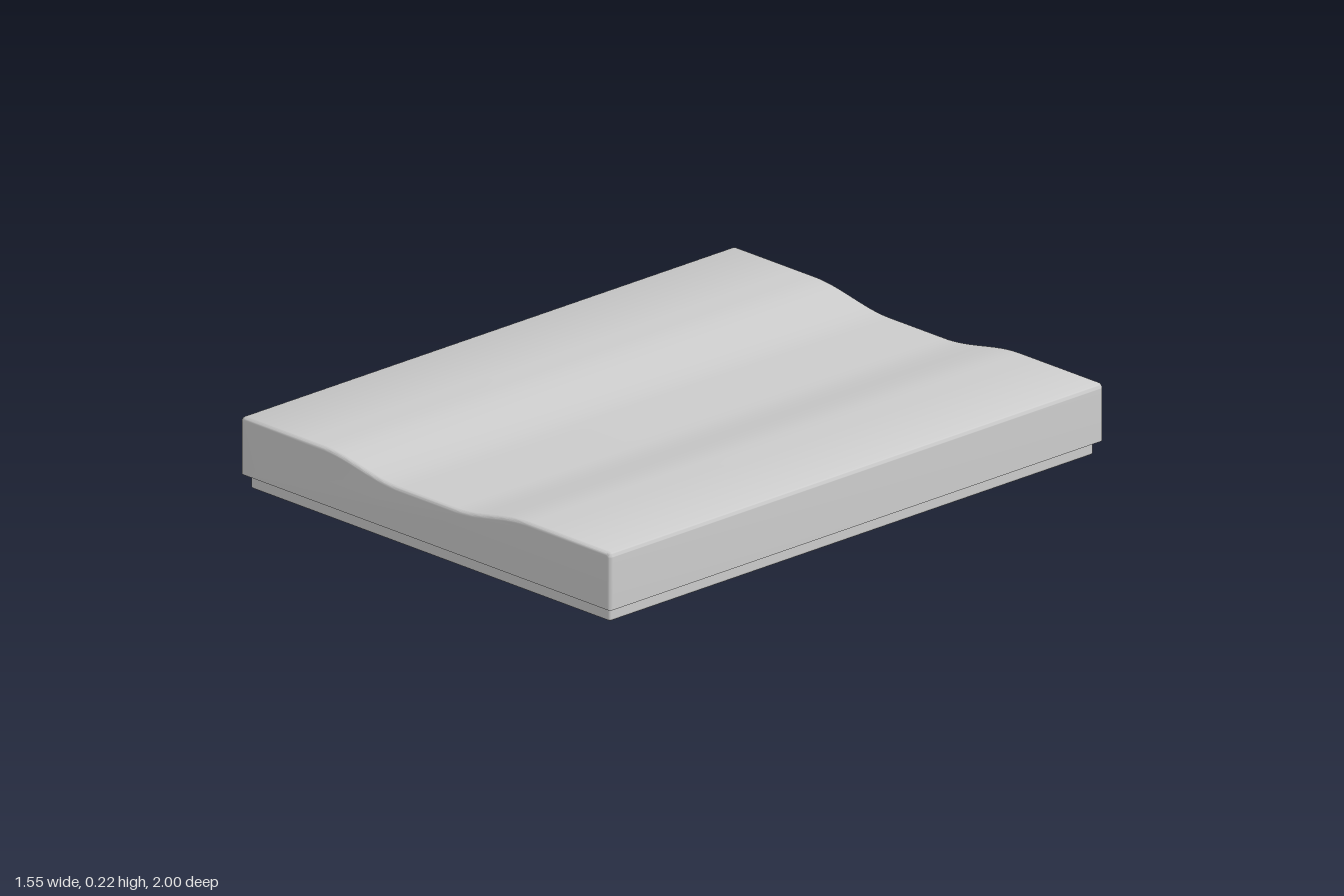
import * as THREE from 'three';
import { toCreasedNormals } from 'three/addons/utils/BufferGeometryUtils.js';
import { RoundedBoxGeometry } from 'three/addons/geometries/RoundedBoxGeometry.js';

const HALF_W = 0.777, HALF_L = 1, BOTTOM = 0.045, TOP = 0.225, DIP = 0.041;
const CORNER = 0.016, BEVEL = 0.012;

// Height of the top surface: flat sides easing into a shallow central trough
const topHeight = (x) => TOP - DIP * (1 - THREE.MathUtils.smoothstep(Math.abs(x), 0.12, 0.43));

function slabGeometry() {
  // Cross-section, counter-clockwise from the lower left corner
  const shape = new THREE.Shape();
  shape.moveTo(-HALF_W, BOTTOM);
  shape.lineTo(HALF_W, BOTTOM);
  shape.lineTo(HALF_W, TOP - CORNER);
  shape.absarc(HALF_W - CORNER, TOP - CORNER, CORNER, 0, Math.PI / 2, false);
  const samples = 40, span = 0.5;
  for (let i = 0; i <= samples; i++) {
    const x = span - (2 * span * i) / samples;
    shape.lineTo(x, topHeight(x));
  }
  shape.lineTo(-HALF_W + CORNER, TOP);
  shape.absarc(-HALF_W + CORNER, TOP - CORNER, CORNER, Math.PI / 2, Math.PI, false);
  shape.closePath();

  const depth = 2 * (HALF_L - BEVEL);
  const geometry = new THREE.ExtrudeGeometry(shape, {
    depth, curveSegments: 6, bevelEnabled: true, bevelSegments: 5,
    bevelSize: BEVEL, bevelThickness: BEVEL, bevelOffset: -BEVEL,
  });
  geometry.translate(0, 0, -depth / 2);

  // Keep the lower rim square: flatten the bevel along the underside
  const pos = geometry.attributes.position;
  for (let i = 0; i < pos.count; i++) {
    if (pos.getY(i) < BOTTOM + BEVEL + 0.005) pos.setY(i, BOTTOM);
  }
  return toCreasedNormals(geometry, 0.6);
}

export function createModel() {
  const group = new THREE.Group();
  const material = new THREE.MeshStandardMaterial({ color: 0xcccccc });

  // Upper slab with the trough running front to back
  const slab = new THREE.Mesh(slabGeometry(), material);
  slab.name = 'upperSlab';
  group.add(slab);

  // Slightly smaller plinth, tucked into the slab
  const plinth = new THREE.Mesh(new RoundedBoxGeometry(1.51, 0.07, 1.96, 4, 0.008), material);
  plinth.position.y = 0.035;
  plinth.name = 'basePlinth';
  group.add(plinth);

  return group;
}
